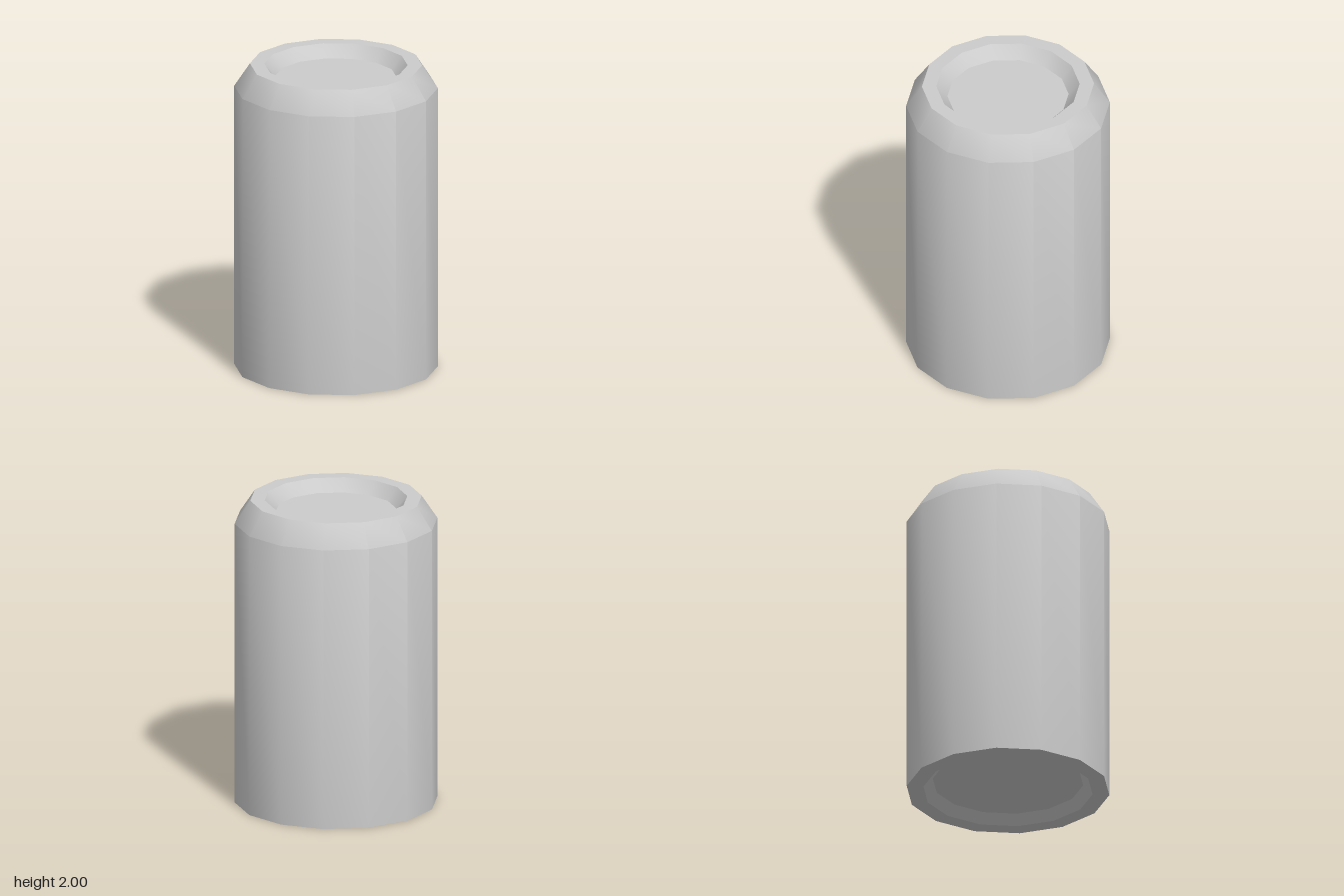
import * as THREE from 'three';
import { toCreasedNormals } from 'three/addons/utils/BufferGeometryUtils.js';

const SIDES = 14;

export function createModel() {
  const group = new THREE.Group();
  group.name = 'can';
  const material = new THREE.MeshStandardMaterial({ color: 0xcccccc });

  // Turned part from [radius, height] pairs, listed from the underside outward and up
  const turned = (name, profile) => {
    const points = profile.map(([r, y]) => new THREE.Vector2(r, y));
    const geometry = toCreasedNormals(new THREE.LatheGeometry(points, SIDES), 0.7);
    const mesh = new THREE.Mesh(geometry, material);
    mesh.name = name;
    group.add(mesh);
  };

  // Recessed underside with its standing rim
  turned('base', [[0, 0.06], [0.48, 0.06], [0.54, 0], [0.647, 0]]);

  // Straight wall running smoothly into the sloped shoulder
  turned('body', [[0.647, 0], [0.647, 1.85], [0.547, 2]]);

  // Flat top rim, sloped inner wall and sunken lid
  turned('lid', [[0.547, 2], [0.455, 2], [0.385, 1.92], [0, 1.92]]);

  return group;
}
